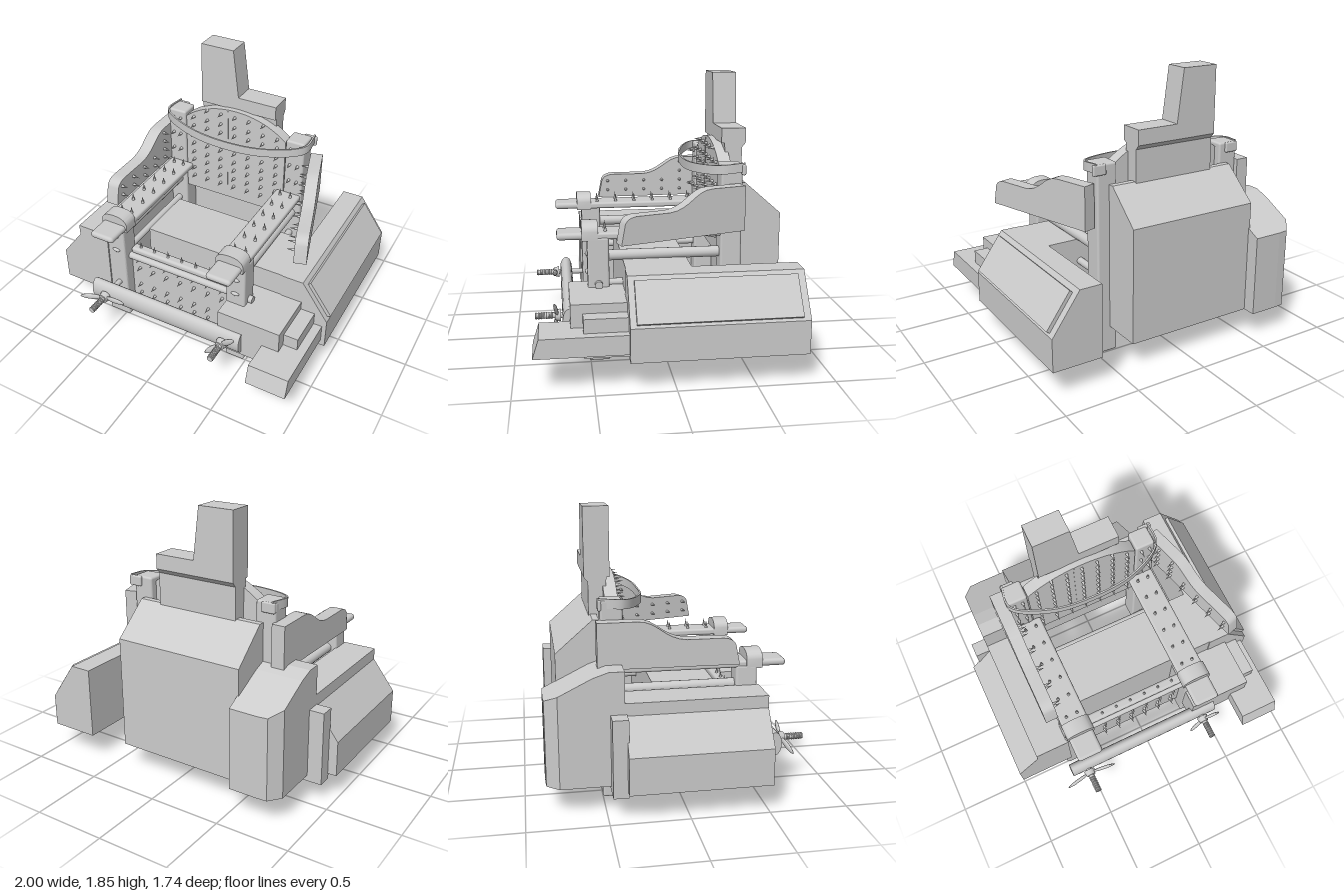
import * as THREE from 'three';
import { mergeGeometries, toCreasedNormals } from 'three/addons/utils/BufferGeometryUtils.js';
import { RoundedBoxGeometry } from 'three/addons/geometries/RoundedBoxGeometry.js';

const mat = new THREE.MeshStandardMaterial({ color: 0xcccccc });
const thin = new THREE.MeshStandardMaterial({ color: 0xcccccc, side: THREE.DoubleSide });
const V = (x, y, z) => new THREE.Vector3(x, y, z);

export function createModel() {
  const root = new THREE.Group();
  const add = (name, geo, parent = root, material = mat) => {
    const m = new THREE.Mesh(geo, material);
    m.name = name;
    parent.add(m);
    return m;
  };
  // boxes given by their min and max on each axis
  const place = (g, a, b) => g.translate((a[0] + b[0]) / 2, (a[1] + b[1]) / 2, (a[2] + b[2]) / 2);
  const box = (name, a, b) => add(name, place(new THREE.BoxGeometry(b[0] - a[0], b[1] - a[1], b[2] - a[2]), a, b));
  const soft = (name, a, b, r = 0.015) =>
    add(name, place(new RoundedBoxGeometry(b[0] - a[0], b[1] - a[1], b[2] - a[2], 2, r), a, b));
  const shapeOf = pts => new THREE.Shape(pts.map(p => new THREE.Vector2(...p)));
  // profile in x,y pushed from z0 to z1
  const prismZ = (name, pts, z0, z1) =>
    add(name, new THREE.ExtrudeGeometry(shapeOf(pts), { depth: z1 - z0, bevelEnabled: false }).translate(0, 0, z0));
  // profile in z,y pushed from x0 to x1
  const sideGeo = (shape, x0, x1) => new THREE.ExtrudeGeometry(shape, { depth: x1 - x0, bevelEnabled: false, curveSegments: 8 })
    .rotateY(-Math.PI / 2).translate(x1, 0, 0);
  const prismX = (name, pts, x0, x1) => add(name, sideGeo(shapeOf(pts), x0, x1));
  // round bar between two points
  const bar = (name, a, b, r, sides = 16) => {
    const g = new THREE.CylinderGeometry(r, r, a.distanceTo(b), sides);
    g.applyQuaternion(new THREE.Quaternion().setFromUnitVectors(V(0, 1, 0), b.clone().sub(a).normalize()));
    const c = a.clone().add(b).multiplyScalar(0.5);
    return add(name, g.translate(c.x, c.y, c.z));
  };
  // one mesh of spikes at the given points, all pointing along dir
  const spikes = (name, points, dir, parent = root) => {
    const q = new THREE.Quaternion().setFromUnitVectors(V(0, 1, 0), dir);
    const cone = new THREE.ConeGeometry(0.012, 0.06, 8).translate(0, 0.025, 0).applyQuaternion(q);
    add(name, mergeGeometries(points.map(p => cone.clone().translate(p.x, p.y, p.z))), parent);
  };
  const cols = Array.from({ length: 7 }, (_, i) => -0.395 + i * 0.112);
  const UP = V(0, 1, 0), FRONT = V(0, 0, 1);

  // posts, armrests, hand pads and cuffs on both sides
  const armSpikes = [], postSpikes = [];
  for (const s of [-1, 1]) {
    const cx = -0.06 + s * 0.475, side = s < 0 ? 'right' : 'left';
    soft(side + 'BackPost', [cx - 0.07, 0, -0.5], [cx + 0.07, 1.3, -0.36]);
    const leg = soft(side + 'FrontLeg', [cx - 0.07, 0, 0.37], [cx + 0.07, 0.84, 0.51]);
    // the right front leg widens towards the foot
    if (s < 0) {
      const p = leg.geometry.attributes.position;
      for (let i = 0; i < p.count; i++) if (p.getX(i) < cx) p.setX(i, p.getX(i) - 0.03 * (1 - p.getY(i) / 0.84));
      leg.geometry.computeVertexNormals();
    }
    const ax = -0.06 + s * 0.445;
    soft(side + 'Armrest', [ax - 0.095, 0.825, -0.37], [ax + 0.095, 0.87, 0.5]);
    soft(side + 'HandPad', [ax - 0.09, 0.825, 0.42], [ax + 0.09, 0.872, 0.705], 0.022);
    // cuff: arched band over the wrist
    const arch = new THREE.Shape();
    arch.moveTo(-0.1, 0.82);
    arch.lineTo(-0.1, 0.88);
    arch.quadraticCurveTo(-0.09, 0.935, 0, 0.935);
    arch.quadraticCurveTo(0.09, 0.935, 0.1, 0.88);
    arch.lineTo(0.1, 0.82);
    arch.closePath();
    add(side + 'WristCuff', toCreasedNormals(new THREE.ExtrudeGeometry(arch, { depth: 0.105, bevelEnabled: false })
      .translate(ax, 0, 0.44), 0.6));
    for (let i = 0; i < 6; i++)
      for (const dx of [-0.04, 0.04]) armSpikes.push(V(ax + dx, 0.87, -0.31 + i * 0.14));
    for (let i = 0; i < 3; i++)
      for (const dx of [-0.03, 0.03]) postSpikes.push(V(cx + dx, 0.98 + i * 0.13, -0.36));
    // side rails
    bar(side + 'UpperSideRail', V(cx, 0.705, -0.4), V(cx, 0.705, 0.4), 0.036);
    bar(side + 'MiddleSideRail', V(cx, 0.52, -0.4), V(cx, 0.52, 0.4), 0.025);
    bar(side + 'LowerSideRail', V(cx, 0.108, -0.4), V(cx, 0.108, 0.4), 0.02);
    // round pegs on the front of the legs
    for (const y of [0.72, 0.6])
      add(side + 'LegPeg', new THREE.SphereGeometry(0.03, 12, 8).scale(1, 0.5, 0.5).translate(cx, y, 0.51));
  }
  spikes('armSpikes', armSpikes, UP);
  spikes('postSpikes', postSpikes, FRONT);
  // cross rails with ends showing past the legs
  for (const [y, z] of [[0.15, 0.335], [0.15, -0.32], [0.53, 0.44]])
    bar('crossRail', V(-0.55, y, z), V(0.515, y, z), 0.026);

  // arched spiked back
  const back = new THREE.Shape();
  back.moveTo(-0.46, 0.66);
  back.lineTo(0.34, 0.66);
  back.lineTo(0.34, 1.27);
  back.quadraticCurveTo(0.17, 1.41, -0.06, 1.41);
  back.quadraticCurveTo(-0.29, 1.41, -0.46, 1.27);
  back.closePath();
  add('backBoard', toCreasedNormals(new THREE.ExtrudeGeometry(back, { depth: 0.085, bevelEnabled: false, curveSegments: 12 })
    .translate(0, 0, -0.455), 0.5));
  box('backSeam', [-0.118, 0.77, -0.38], [-0.112, 1.395, -0.367]);
  const backPts = [];
  for (const x of cols)
    for (const y of [0.77, 0.84, 0.915, 0.985, 1.06, 1.13, 1.21, 1.28, 1.36])
      if (y < 1.3 || Math.abs(x + 0.06) < 0.24) backPts.push(V(x, y, -0.37));
  spikes('backSpikes', backPts, FRONT);

  // spiked front board and its top rail
  box('frontBoard', [-0.46, 0.105, 0.39], [0.35, 0.56, 0.43]);
  spikes('frontBoardSpikes', cols.flatMap(x => [0.2, 0.28, 0.43, 0.51].map(y => V(x, y, 0.43))), FRONT);
  soft('frontRail', [-0.46, 0.55, 0.37], [0.35, 0.6, 0.44], 0.02);
  spikes('frontRailSpikes', cols.map(x => V(x, 0.595, 0.405)), UP);

  // shin bar on threaded rods with wing nuts
  add('shinBar', new THREE.CylinderGeometry(1, 1, 1.18, 20).rotateZ(Math.PI / 2).scale(1, 0.08, 0.045).translate(-0.06, 0.305, 0.635));
  for (const [x, tilt, len] of [[-0.53, 0.23, 0.19], [0.415, 0.8, 0.15]]) {
    bar('threadedRod', V(x, 0.305, 0.45), V(x, 0.305, 0.86), 0.02, 12);
    for (let i = 0; i < 7; i++)
      add('rodThread', new THREE.TorusGeometry(0.019, 0.005, 6, 12).translate(x, 0.305, 0.75 + i * 0.017));
    const nut = new THREE.Group();
    nut.name = 'wingNut';
    nut.position.set(x, 0.305, 0.71);
    nut.rotation.z = tilt;
    root.add(nut);
    add('nutHub', new THREE.CylinderGeometry(0.032, 0.042, 0.04, 14).rotateX(Math.PI / 2), nut);
    for (const s of [-1, 1])
      add('nutWing', new THREE.SphereGeometry(1, 12, 8).scale(len * 0.5, 0.022, 0.012).rotateY(-s * 0.15)
        .translate(s * len * 0.55, 0, 0.012), nut);
  }

  // head strap: a flat box bent along a curve
  const path = new THREE.CatmullRomCurve3([V(-0.59, 1.28, -0.51), V(-0.6, 1.27, -0.35), V(-0.35, 1.25, -0.22),
    V(-0.06, 1.235, -0.19), V(0.25, 1.245, -0.22), V(0.49, 1.265, -0.35), V(0.5, 1.28, -0.51)]);
  const strap = new THREE.BoxGeometry(1, 0.06, 0.012, 48);
  const sp = strap.attributes.position;
  for (let i = 0; i < sp.count; i++) {
    const u = sp.getX(i) + 0.5, c = path.getPoint(u), t = path.getTangent(u);
    const n = V(-t.z, 0, t.x).normalize().multiplyScalar(sp.getZ(i));
    sp.setXYZ(i, c.x + n.x, c.y + sp.getY(i), c.z + n.z);
  }
  strap.computeVertexNormals();
  add('headStrap', strap, root, thin);
  for (const x of [-0.57, 0.46]) soft('strapAnchor', [x - 0.035, 1.23, -0.515], [x + 0.06, 1.3, -0.49], 0.01);

  // curved side wings with inward spikes
  const wing = new THREE.Shape();
  wing.moveTo(-0.53, 0.88);
  wing.lineTo(0.37, 0.875);
  wing.lineTo(0.345, 1.0);
  wing.quadraticCurveTo(0.33, 1.05, 0.25, 1.05);
  wing.lineTo(0.03, 1.05);
  wing.bezierCurveTo(-0.12, 1.06, -0.15, 1.175, -0.28, 1.175);
  wing.lineTo(-0.53, 1.175);
  wing.closePath();
  for (const s of [-1, 1]) {
    const g = new THREE.Group();
    g.name = s < 0 ? 'rightWing' : 'leftWing';
    root.add(g);
    add('wingPanel', toCreasedNormals(sideGeo(wing, s < 0 ? -0.09 : 0, s < 0 ? 0 : 0.085), 0.5), g);
    const pts = [];
    for (let i = 0; i < 6; i++)
      for (const y of [0.93, 1.0, 1.07, 1.14]) if (y < 1.04 || i < 2) pts.push(V(0, y, -0.4 + i * 0.14));
    spikes('wingSpikes', pts, V(-s, 0, 0), g);
    if (s < 0) g.position.x = -0.597;
    else {
      g.position.set(0.64, 0, 0.007);
      g.rotation.y = 0.297;
      g.scale.z = 0.95;
    }
  }

  // seat block running out to the left housing
  box('seatBlock', [-0.4, 0.19, -0.14], [0.7, 0.68, 0.28]);

  // rear housing with sloped top, and the stack above it
  prismX('rearHousing', [[-0.78, 0.18], [-0.5, 0.18], [-0.5, 1.16], [-0.54, 1.16], [-0.78, 0.95]], -0.52, 0.4);
  prismZ('stack', [[-0.35, 1.4], [0.235, 1.4], [0.235, 1.5], [-0.055, 1.5], [-0.1, 1.85], [-0.35, 1.85]], -0.575, -0.41);
  prismX('stackBase', [[-0.55, 0.95], [-0.46, 0.95], [-0.43, 1.4], [-0.575, 1.4], [-0.55, 1.37]], -0.35, 0.235);

  // rear corner housing: sloped top, outer back corner cut off
  const corner = new THREE.BoxGeometry(0.33, 0.73, 0.49, 5, 1, 5).toNonIndexed();
  const cp = corner.attributes.position;
  for (let i = 0; i < cp.count; i++) {
    let x = cp.getX(i) - 0.675, z = cp.getZ(i) - 0.625;
    z = Math.max(z, -0.87 + Math.max(0, -0.77 - x) * 1.2);
    const y = cp.getY(i) > 0 ? Math.min(0.91, 0.73 + (z + 0.87) * 0.5) : 0.18;
    cp.setXYZ(i, x, y, z);
  }
  corner.computeVertexNormals();
  add('cornerHousing', corner);
  box('cornerStep', [-0.94, 0.14, -0.47], [-0.75, 0.64, -0.37]);

  // right side housing
  prismZ('rightHousing', [[-1, 0.18], [-0.6, 0.18], [-0.6, 0.71], [-0.84, 0.71], [-0.84, 0.63], [-1, 0.42]], -0.38, 0.52);

  // left side housing with a panel on its slope
  prismZ('leftHousing', [[0.65, 0.19], [0.99, 0.19], [0.99, 0.41], [0.8, 0.68], [0.65, 0.68]], -0.83, 0.285);
  prismZ('slopePanel', [[0.81, 0.64], [0.97, 0.42], [1, 0.44], [0.84, 0.665]], -0.78, 0.245);
  // stepped blocks and wedge foot in front of it
  box('frontStepTall', [0.35, 0.2, 0.27], [0.8, 0.51, 0.635]);
  box('frontStepLow', [0.78, 0.2, 0.27], [0.9, 0.45, 0.56]);
  prismX('frontFoot', [[0.28, 0.235], [0.87, 0.235], [0.83, 0.36], [0.28, 0.36]], 0.68, 0.96);
  return root;
}
